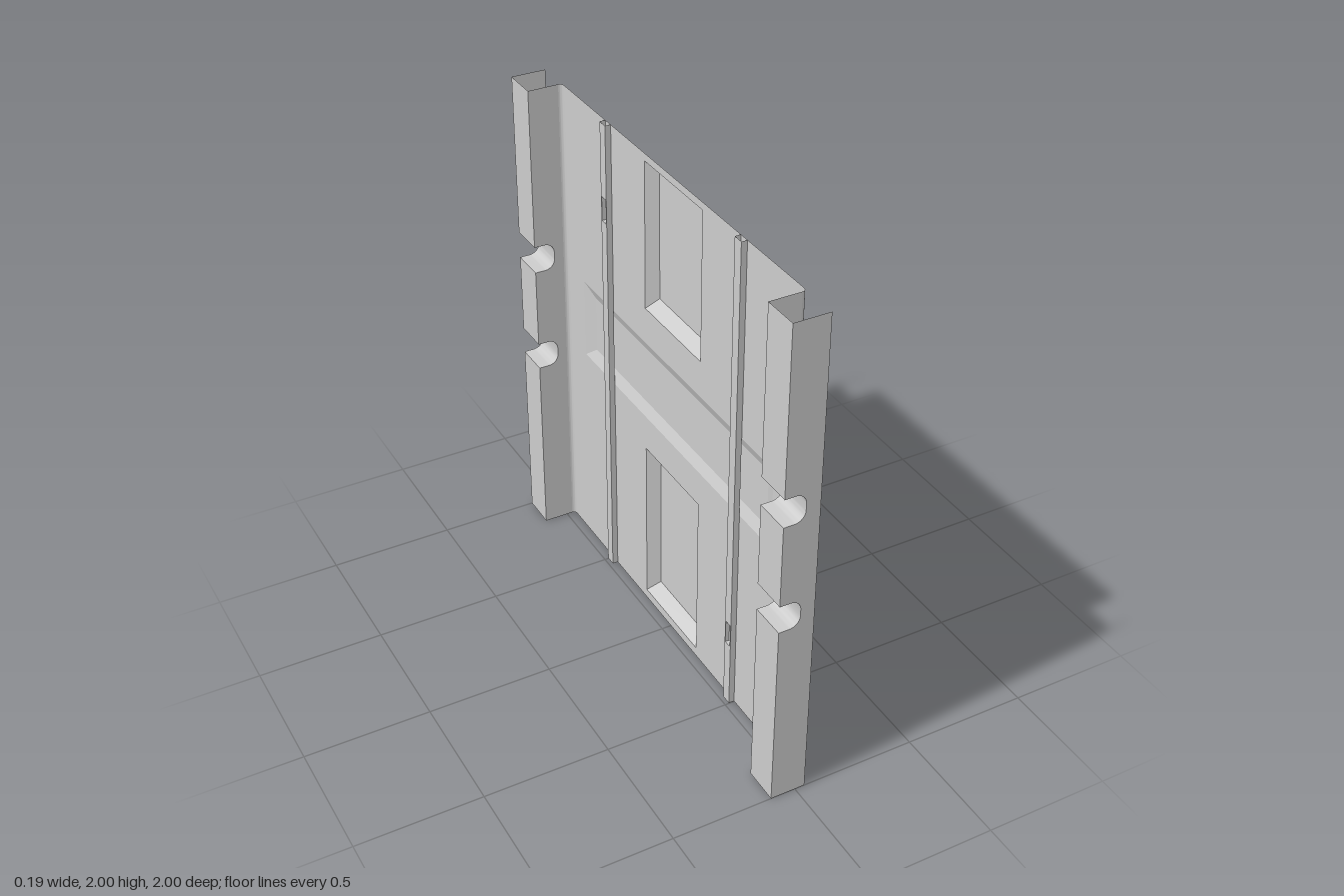
import * as THREE from 'three';
import { toCreasedNormals } from 'three/addons/utils/BufferGeometryUtils.js';

const material = new THREE.MeshStandardMaterial({ color: 0xcccccc, side: THREE.DoubleSide });
const FACE = 0.04, BACK = -0.1, INNER = 0.857, BEND = 0.016, HEIGHT = 2;

function add(parent, name, geometry) {
  const mesh = new THREE.Mesh(geometry, material);
  mesh.name = name;
  parent.add(mesh);
  return mesh;
}

// Sheet made by sweeping a line of points along a straight offset
function ribbon(points, offset) {
  const n = points.length;
  const g = new THREE.PlaneGeometry(1, 1, n - 1, 1);
  points.forEach((p, i) => {
    g.attributes.position.setXYZ(i, p.x, p.y, p.z);
    g.attributes.position.setXYZ(n + i, p.x + offset.x, p.y + offset.y, p.z + offset.z);
  });
  return toCreasedNormals(g, 0.7);
}

function rectPoints(z, y, hz, hy) {
  return [[z - hz, y - hy], [z + hz, y - hy], [z + hz, y + hy], [z - hz, y + hy]]
    .map(([a, b]) => new THREE.Vector2(a, b));
}

// Flat sheet across z and y at depth x, with rectangular holes
function sheet(outline, holes, x) {
  const shape = new THREE.Shape(outline);
  holes.forEach(h => shape.holes.push(new THREE.Path(h)));
  const g = new THREE.ShapeGeometry(shape);
  g.rotateY(-Math.PI / 2);
  g.translate(x, 0, 0);
  return g;
}

// Pressed rectangle: sloping sides from the outer loop to a flat inner loop
function pressing(outer, inner, x0, x1) {
  const pos = [];
  outer.forEach(p => pos.push(x0, p.y, p.x));
  inner.forEach(p => pos.push(x1, p.y, p.x));
  const index = [4, 6, 5, 4, 7, 6];
  for (let i = 0; i < 4; i++) {
    const j = (i + 1) % 4;
    index.push(i, 4 + j, j, i, 4 + i, 4 + j);
  }
  let g = new THREE.BufferGeometry();
  g.setAttribute('position', new THREE.Float32BufferAttribute(pos, 3));
  g.setIndex(index);
  g = g.toNonIndexed();
  g.computeVertexNormals();
  return g;
}

// Rear outline of a side channel, with two rounded notches
function notchedOutline() {
  const pts = [new THREE.Vector2(BACK, 0)];
  const tip = -0.016, r = 0.042;
  for (const [low, high] of [[0.78, 0.893], [1.225, 1.338]]) {
    pts.push(new THREE.Vector2(BACK, low));
    for (let i = 0; i <= 8; i++) {
      const a = -Math.PI / 2 + i * Math.PI / 16;
      pts.push(new THREE.Vector2(tip - r + r * Math.cos(a), low + r + r * Math.sin(a)));
    }
    for (let i = 0; i <= 8; i++) {
      const a = i * Math.PI / 16;
      pts.push(new THREE.Vector2(tip - r + r * Math.cos(a), high - r + r * Math.sin(a)));
    }
    pts.push(new THREE.Vector2(BACK, high));
  }
  pts.push(new THREE.Vector2(BACK, HEIGHT));
  return pts;
}

// Channel along one long edge, open towards the panel's face
function sideChannel() {
  const group = new THREE.Group();
  const back = notchedOutline();
  const wall = (x, z) => new THREE.ShapeGeometry(new THREE.Shape(
    [...back, new THREE.Vector2(x, HEIGHT), new THREE.Vector2(x, 0)])).translate(0, 0, z);
  add(group, 'outerFlange', wall(FACE, 1));
  add(group, 'innerWall', wall(FACE - BEND, INNER));
  add(group, 'notchedFloor', ribbon(
    back.map(p => new THREE.Vector3(p.x, p.y, INNER)), new THREE.Vector3(0, 0, 1 - INNER)));
  const arc = [];
  for (let i = 0; i <= 6; i++) {
    const a = i * Math.PI / 12;
    arc.push(new THREE.Vector3(FACE - BEND + BEND * Math.sin(a), 0, INNER - BEND + BEND * Math.cos(a)));
  }
  add(group, 'roundedBend', ribbon(arc, new THREE.Vector3(0, HEIGHT, 0)));
  return group;
}

// Shallow stiffener on the rear with a small slot pocket
function rearRib(z, slotY) {
  const group = new THREE.Group();
  group.name = 'rearRib';
  const x = 0.017, half = 0.021;
  const slot = rectPoints(z, slotY, 0.016, 0.05);
  add(group, 'ribFace', sheet(rectPoints(z, 1, half, 1), [slot], x));
  add(group, 'ribSlot', pressing(slot, slot, x, 0.033));
  for (const s of [-1, 1]) {
    const edge = [x, FACE].map(v => new THREE.Vector3(v, 0, z + s * half));
    add(group, 'ribSide', ribbon(edge, new THREE.Vector3(0, HEIGHT, 0)));
  }
  return group;
}

export function createModel() {
  const model = new THREE.Group();
  model.name = 'pressedPanel';

  // Main sheet and its raised pressings
  const pressings = [
    { name: 'upperPressing', y: 1.67, hz: 0.205, hy: 0.3, dz: 0.027, dy: 0.042, x: 0.086 },
    { name: 'middlePressing', y: 1.055, hz: 0.71, hy: 0.167, dz: 0.06, dy: 0.048, x: 0.059 },
    { name: 'lowerPressing', y: 0.39, hz: 0.203, hy: 0.351, dz: 0.027, dy: 0.042, x: 0.09 },
  ];
  const holes = pressings.map(p => rectPoints(0, p.y, p.hz, p.hy));
  add(model, 'mainSheet', sheet(rectPoints(0, 1, INNER - BEND, 1), holes, FACE));
  pressings.forEach((p, i) => add(model, p.name, pressing(
    holes[i], rectPoints(0, p.y, p.hz - p.dz, p.hy - p.dy), FACE, p.x)));

  // Side channels
  for (const s of [1, -1]) {
    const channel = sideChannel();
    channel.name = s > 0 ? 'frontChannel' : 'rearChannel';
    channel.scale.z = s;
    model.add(channel);
  }

  // Stiffeners
  model.add(rearRib(-0.482, 1.65), rearRib(0.477, 0.33));
  return model;
}
